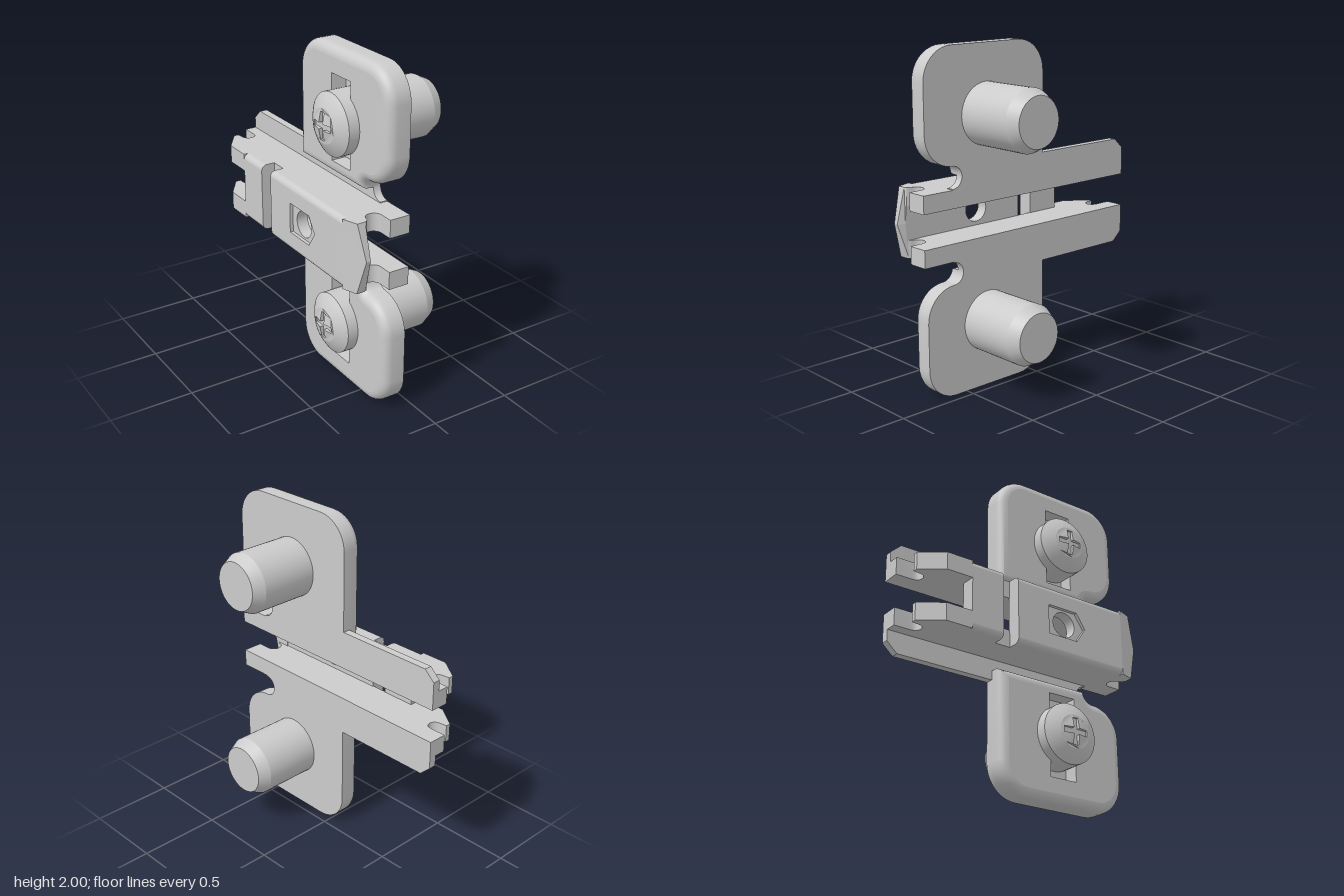
import * as THREE from 'three';
import { toCreasedNormals } from 'three/addons/utils/BufferGeometryUtils.js';

const material = new THREE.MeshStandardMaterial({ color: 0xcccccc });
const openMaterial = new THREE.MeshStandardMaterial({ color: 0xcccccc, side: THREE.DoubleSide });
const V = (x, y) => new THREE.Vector2(x, y);
const BACK = -0.055; // x of the flat mounting face

function arc(cx, cy, r, a0, a1, n = 10) {
  return Array.from({ length: n + 1 }, (_, i) => {
    const a = a0 + (a1 - a0) * i / n;
    return V(cx + r * Math.cos(a), cy + r * Math.sin(a));
  });
}

function add(parent, name, geometry, mat = material) {
  const mesh = new THREE.Mesh(geometry, mat);
  mesh.name = name;
  parent.add(mesh);
  return mesh;
}

// Outline in (z, y), thickened from x towards -x
function slab(points, x, depth, hole) {
  const shape = new THREE.Shape(points);
  if (hole) shape.holes.push(new THREE.Path(hole));
  const g = new THREE.ExtrudeGeometry(shape, { depth, bevelEnabled: false });
  return toCreasedNormals(g.rotateY(-Math.PI / 2).translate(x, 0, 0), 0.5);
}

// Outline in (x, z), thickened downwards from y
function layer(points, y, depth, steps = 1) {
  const g = new THREE.ExtrudeGeometry(new THREE.Shape(points), { depth, steps, bevelEnabled: false });
  return g.rotateX(Math.PI / 2).translate(0, y, 0);
}

// Skin through closed rings of (z, y) points, each at its own x
function loft(rings) {
  const n = rings[0].points.length, pos = [], index = [];
  rings.forEach(({ x, points }) => points.forEach(p => pos.push(x, p.y, p.x)));
  for (let i = 0; i < rings.length - 1; i++) {
    for (let j = 0; j < n; j++) {
      const a = i * n + j, b = i * n + (j + 1) % n;
      index.push(a, a + n, b, b, a + n, b + n);
    }
  }
  const g = new THREE.BufferGeometry();
  g.setAttribute('position', new THREE.Float32BufferAttribute(pos, 3));
  g.setIndex(index);
  return toCreasedNormals(g, 0.6);
}

// Wing outline shrunk by d; s = 1 for the upper wing, -1 for the lower
function wingOutline(d, s) {
  const P = Math.PI, r = 0.19 - d, notch = 0.065 + d;
  const pts = [
    V(-0.1 + d, 0.275 + d),
    ...arc(0.09, 0.81, r, P, P / 2),
    ...arc(0.58, 0.81, r, P / 2, 0),
    ...arc(0.58, 0.53, r, 0, -P / 2),
    ...arc(0.58, 0.275, notch, P / 2, P - Math.asin(d / notch)).slice(1),
  ].map(p => V(p.x, 1 + s * p.y));
  return s > 0 ? pts : pts.reverse();
}

function makeWing(s) {
  const wing = new THREE.Group(), bevel = 0.055, y = 1 + s * 0.605;
  const slot = [V(0.24, y - 0.25), V(0.42, y - 0.25), V(0.42, y + 0.25), V(0.24, y + 0.25)];
  add(wing, 'wingBase', slab(wingOutline(0, s), BACK, 0.045));
  // Raised body with a rounded rim
  const rings = [{ x: -0.1, points: wingOutline(0, s) }];
  for (let i = 0; i <= 6; i++) {
    const a = i / 6 * Math.PI / 2;
    rings.push({ x: -0.135 - bevel * Math.sin(a), points: wingOutline(bevel * (1 - Math.cos(a)), s) });
  }
  add(wing, 'wingRim', loft(rings), openMaterial);
  const face = new THREE.Shape(wingOutline(bevel, s));
  face.holes.push(new THREE.Path(slot));
  add(wing, 'wingFace', new THREE.ShapeGeometry(face).rotateY(-Math.PI / 2).translate(-0.19, 0, 0), openMaterial);
  add(wing, 'wingSlot', loft([{ x: -0.1, points: slot }, { x: -0.19, points: slot }]), openMaterial);
  // Thin flange beside the channel
  const flange = [
    V(-0.785, 0.2), V(-0.785, 0.27), V(-0.72, 0.33), V(-0.1, 0.33), V(-0.1, 0.275),
    ...arc(0.58, 0.275, 0.065, Math.PI, Math.PI * 1.5), V(0.58, 0.2),
  ].map(p => V(p.x, 1 + s * p.y));
  add(wing, 'flange', slab(flange, BACK, 0.047));
  return wing;
}

function makeScrew() {
  const screw = new THREE.Group();
  const dome = r => -0.32 + 2 * r * r;
  const profile = [0.1, 0.12, 0.14, 0.16, 0.18].map(r => V(r, dome(r)));
  profile.push(V(0.18, 0.3), V(0.145, 0.37), V(0, 0.37));
  const body = new THREE.LatheGeometry(profile, 48).rotateZ(-Math.PI / 2);
  add(screw, 'screwBody', toCreasedNormals(body, 0.4));

  // Domed centre of the head with a cross recess
  const w = 0.018, l = 0.08, cross = [];
  for (let i = 0; i < 4; i++) {
    for (const p of [V(l, -w), V(l, w), V(w, w)]) cross.push(p.rotateAround(V(0, 0), i * Math.PI / 2));
  }
  const disc = new THREE.Shape(arc(0, 0, 0.1, 0, Math.PI * 2, 48).slice(0, -1));
  disc.holes.push(new THREE.Path(cross));
  const top = new THREE.ExtrudeGeometry(disc, { depth: 0.04, bevelEnabled: false });
  const p = top.attributes.position;
  for (let i = 0; i < p.count; i++) {
    if (p.getZ(i) > 0.03) p.setZ(i, -0.26 - dome(Math.hypot(p.getX(i), p.getY(i))));
  }
  top.rotateY(-Math.PI / 2).translate(-0.26, 0, 0);
  add(screw, 'screwHeadCentre', toCreasedNormals(top, 0.5));
  add(screw, 'crossRecessFloor', new THREE.CircleGeometry(0.095, 24).rotateY(-Math.PI / 2).translate(-0.295, 0, 0));
  return screw;
}

function makeChannel() {
  const channel = new THREE.Group();
  // Two side walls with hook notches at both ends
  const wall = [
    V(-0.38, -0.425), V(-0.38, -0.59), V(-0.285, -0.725), V(-0.255, -0.725),
    ...arc(-0.21, -0.68, 0.04, Math.PI, 0), V(-0.17, -0.785),
    V(BACK, -0.785), V(BACK, 0.785), V(-0.18, 0.785),
    ...arc(-0.227, 0.705, 0.047, 0, -Math.PI), V(-0.285, 0.725), V(-0.345, 0.64),
    V(-0.345, -0.115), V(-0.295, -0.115), V(-0.295, -0.215), V(-0.345, -0.215), V(-0.345, -0.425),
  ];
  for (const y of [1.205, 0.9]) add(channel, 'channelWall', toCreasedNormals(layer(wall, y, 0.105), 0.5));

  // Web joining the walls, with a round hole in an arrow-shaped recess
  const rect = (z0, z1) => [V(z0, 0.83), V(z1, 0.83), V(z1, 1.17), V(z0, 1.17)];
  const arrow = [V(0.1, 0.91), V(0.3, 0.91), V(0.36, 1), V(0.3, 1.09), V(0.1, 1.09)];
  const hole = arc(0.22, 1, 0.077, 0, Math.PI * 2, 32).slice(0, -1);
  add(channel, 'webInner', slab(rect(-0.115, 0.64), -0.29, 0.07, hole));
  add(channel, 'webOuter', slab(rect(-0.115, 0.64), -0.36, 0.02, arrow));
  add(channel, 'webRear', slab(rect(-0.425, -0.215), -0.29, 0.09));

  // Rounded outer bends
  for (const [z0, z1] of [[-0.425, -0.215], [-0.115, 0.64]]) {
    for (const y of [0.83, 1.17]) {
      const bend = new THREE.CylinderGeometry(0.035, 0.035, z1 - z0, 24).rotateX(Math.PI / 2);
      add(channel, 'channelBend', bend.translate(-0.345, y, (z0 + z1) / 2));
    }
  }

  // Wedge tip, pointed at mid height
  const tip = layer([V(-0.38, 0.64), V(-0.33, 0.785), V(-0.3, 0.785), V(-0.285, 0.74), V(-0.285, 0.64)], 1.205, 0.41, 2);
  const p = tip.attributes.position;
  for (let i = 0; i < p.count; i++) {
    const t = Math.abs(p.getY(i) - 1) / 0.205;
    if (p.getZ(i) > 0.78) p.setZ(i, 0.785 - 0.055 * t);
    if (Math.abs(p.getX(i) + 0.33) < 0.01) p.setX(i, -0.327 - 0.022 * t);
    if (Math.abs(p.getZ(i) - 0.74) < 0.001) p.setZ(i, 0.74 - 0.02 * t);
  }
  add(channel, 'channelTip', toCreasedNormals(tip, 0.1));
  return channel;
}

export function createModel() {
  const model = new THREE.Group();
  model.name = 'mountingPlate';
  const channel = makeChannel();
  channel.name = 'channel';
  model.add(channel);
  for (const s of [1, -1]) {
    const side = s > 0 ? 'upper' : 'lower';
    const wing = makeWing(s);
    wing.name = side + 'Wing';
    const screw = makeScrew();
    screw.name = side + 'Screw';
    screw.position.set(0, 1 + s * 0.605, 0.33);
    model.add(wing, screw);
  }
  return model;
}
